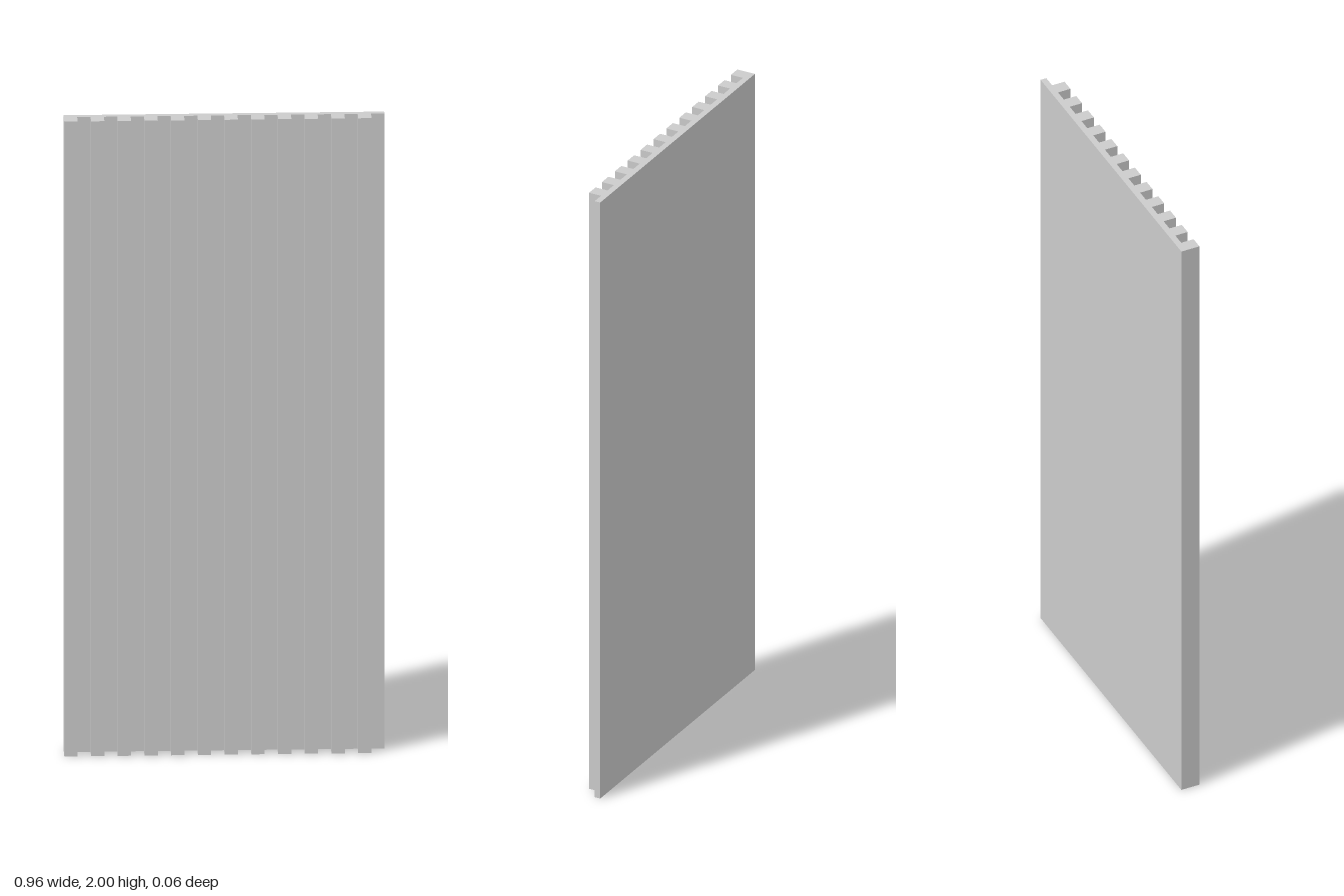
import * as THREE from 'three';

const WIDTH = 0.957, HEIGHT = 2, BACK = -0.03, FRONT = 0.03, GROOVE = -0.011;
const SLATS = 12;

export function createModel() {
  const group = new THREE.Group();
  group.name = 'slattedPanel';

  // Plan outline: flat back, then a slat and a groove repeated along the front
  const pitch = WIDTH / SLATS;
  const outline = [[WIDTH / 2, BACK], [-WIDTH / 2, BACK]];
  for (let i = 0; i < SLATS; i++) {
    const x = -WIDTH / 2 + i * pitch;
    const mid = x + pitch / 2;
    if (i > 0) outline.push([x, GROOVE]);
    outline.push([x, FRONT], [mid, FRONT], [mid, GROOVE]);
  }
  outline.push([WIDTH / 2, GROOVE]);

  // Extrude the plan upwards (shape y is -z)
  const shape = new THREE.Shape(outline.map(([x, z]) => new THREE.Vector2(x, -z)));
  const geometry = new THREE.ExtrudeGeometry(shape, { depth: HEIGHT, bevelEnabled: false });
  geometry.rotateX(-Math.PI / 2);

  const panel = new THREE.Mesh(geometry, new THREE.MeshStandardMaterial({ color: 0xcccccc }));
  panel.name = 'flutedBoard';
  group.add(panel);
  return group;
}
